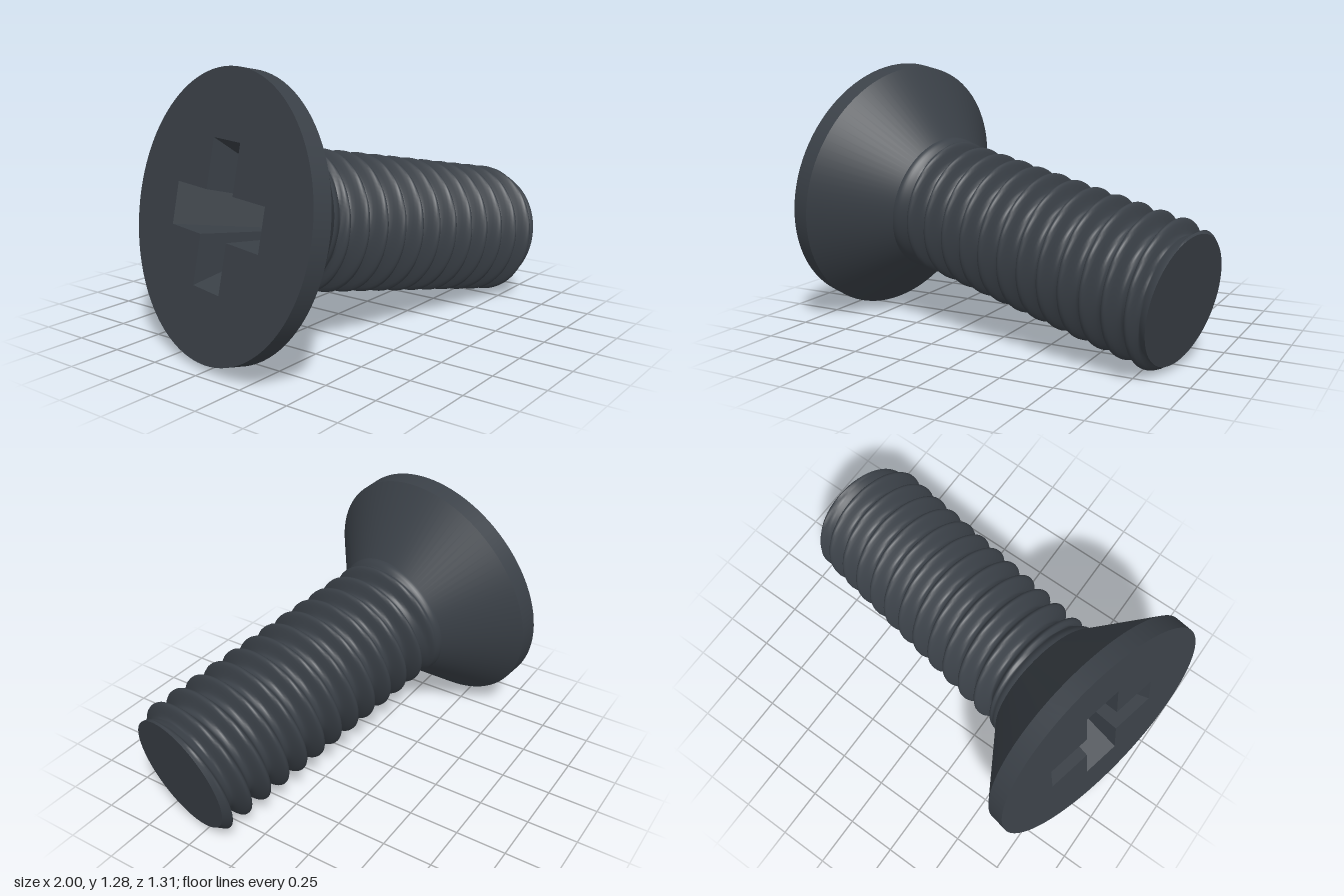
import * as THREE from 'three';

const HEAD_R = 0.637, RIM = 0.09, NECK_S = 0.37, NECK_R = 0.338;
const CREST = 0.333, ROOT = 0.262, TIP_R = 0.297, TIP_S = 1.81;
const PITCH = 0.115, PHASE = 0.7835;

// Cross outline: arm half-length, half-width, turned by a small angle
function crossPoints(len, w, turn = -0.055) {
  const pts = [];
  for (let i = 0; i < 4; i++) {
    const a = i * Math.PI / 2 + turn;
    for (const [x, y] of [[len, -w], [len, w], [w, w]]) {
      pts.push(new THREE.Vector2(x * Math.cos(a) - y * Math.sin(a), x * Math.sin(a) + y * Math.cos(a)));
    }
  }
  return pts;
}

// Tapered walls joining the cross at the head face to the one at the bottom
function recessWalls(top, bottom, depth) {
  const pos = [];
  top.forEach((a, i) => {
    const j = (i + 1) % top.length, b = top[j], c = bottom[j], d = bottom[i];
    pos.push(a.x, 0, a.y, b.x, 0, b.y, c.x, depth, c.y);
    pos.push(a.x, 0, a.y, c.x, depth, c.y, d.x, depth, d.y);
  });
  const g = new THREE.BufferGeometry();
  g.setAttribute('position', new THREE.Float32BufferAttribute(pos, 3));
  g.computeVertexNormals();
  return g;
}

// Radius of the helical thread at axial position s and angle a
function threadRadius(s, a) {
  const { smoothstep } = THREE.MathUtils;
  let f = (s - PHASE) / PITCH - a / (2 * Math.PI);
  f = Math.abs(f - Math.round(f));
  const ridge = ROOT + (CREST - ROOT) * (1 - smoothstep(f, 0.03, 0.42));
  const neck = ROOT + (NECK_R - ROOT) * (1 - smoothstep(s, NECK_S + 0.01, NECK_S + 0.12));
  const end = ROOT + (TIP_R - ROOT) * smoothstep(s, TIP_S - 0.09, TIP_S);
  const chamfer = TIP_R + (TIP_S - s) * 0.9;
  return Math.min(Math.max(ridge, neck, end), chamfer);
}

function threadGeometry(rows = 180, segs = 96) {
  const pos = [], index = [];
  for (let i = 0; i <= rows; i++) {
    const s = NECK_S + (TIP_S - NECK_S) * i / rows;
    for (let j = 0; j < segs; j++) {
      const a = j / segs * 2 * Math.PI, r = threadRadius(s, a);
      pos.push(r * Math.cos(a), s, -r * Math.sin(a));
      if (i === rows) continue;
      const p = i * segs + j, q = i * segs + (j + 1) % segs;
      index.push(p, q, q + segs, p, q + segs, p + segs);
    }
  }
  const g = new THREE.BufferGeometry();
  g.setAttribute('position', new THREE.Float32BufferAttribute(pos, 3));
  g.setIndex(index);
  g.computeVertexNormals();
  return g;
}

export function createModel() {
  const model = new THREE.Group();
  model.name = 'countersunkScrew';
  const screw = new THREE.Group();
  screw.name = 'screw';
  model.add(screw);

  const steel = new THREE.MeshStandardMaterial({ color: 0x3a4047 });
  steel.name = 'dark steel';
  const add = (name, geometry) => {
    const m = new THREE.Mesh(geometry, steel);
    m.name = name;
    screw.add(m);
  };
  const lathe = (...pts) => new THREE.LatheGeometry(pts.map(p => new THREE.Vector2(...p)), 96);

  // Head: flat face with cross hole, rim and conical underside
  const top = crossPoints(0.325, 0.098), bottom = crossPoints(0.15, 0.07), depth = 0.38;
  const face = new THREE.Shape().absarc(0, 0, HEAD_R, 0, Math.PI * 2);
  face.holes.push(new THREE.Path(top));
  add('headFace', new THREE.ShapeGeometry(face, 96).rotateX(Math.PI / 2));
  add('headRim', lathe([HEAD_R, 0], [HEAD_R, RIM]));
  add('headCone', lathe([HEAD_R, RIM], [NECK_R, NECK_S]));

  // Driver recess
  add('recessWalls', recessWalls(top, bottom, depth));
  add('recessFloor', new THREE.ShapeGeometry(new THREE.Shape(bottom)).rotateX(Math.PI / 2).translate(0, depth, 0));

  // Threaded shaft and its flat tip
  add('threadedShaft', threadGeometry());
  add('shaftTip', new THREE.CircleGeometry(TIP_R, 96).rotateX(-Math.PI / 2).translate(0, TIP_S, 0));

  // Tilt the screw axis (local y) and place the head
  const axis = new THREE.Vector3(0.96, -0.185, 0.207).normalize();
  const up = new THREE.Vector3(-axis.y, axis.x, 0).normalize();
  const side = new THREE.Vector3().crossVectors(up, axis);
  screw.quaternion.setFromRotationMatrix(new THREE.Matrix4().makeBasis(up, axis, side));
  screw.position.set(-0.821, 0.644, -0.031);
  return model;
}
